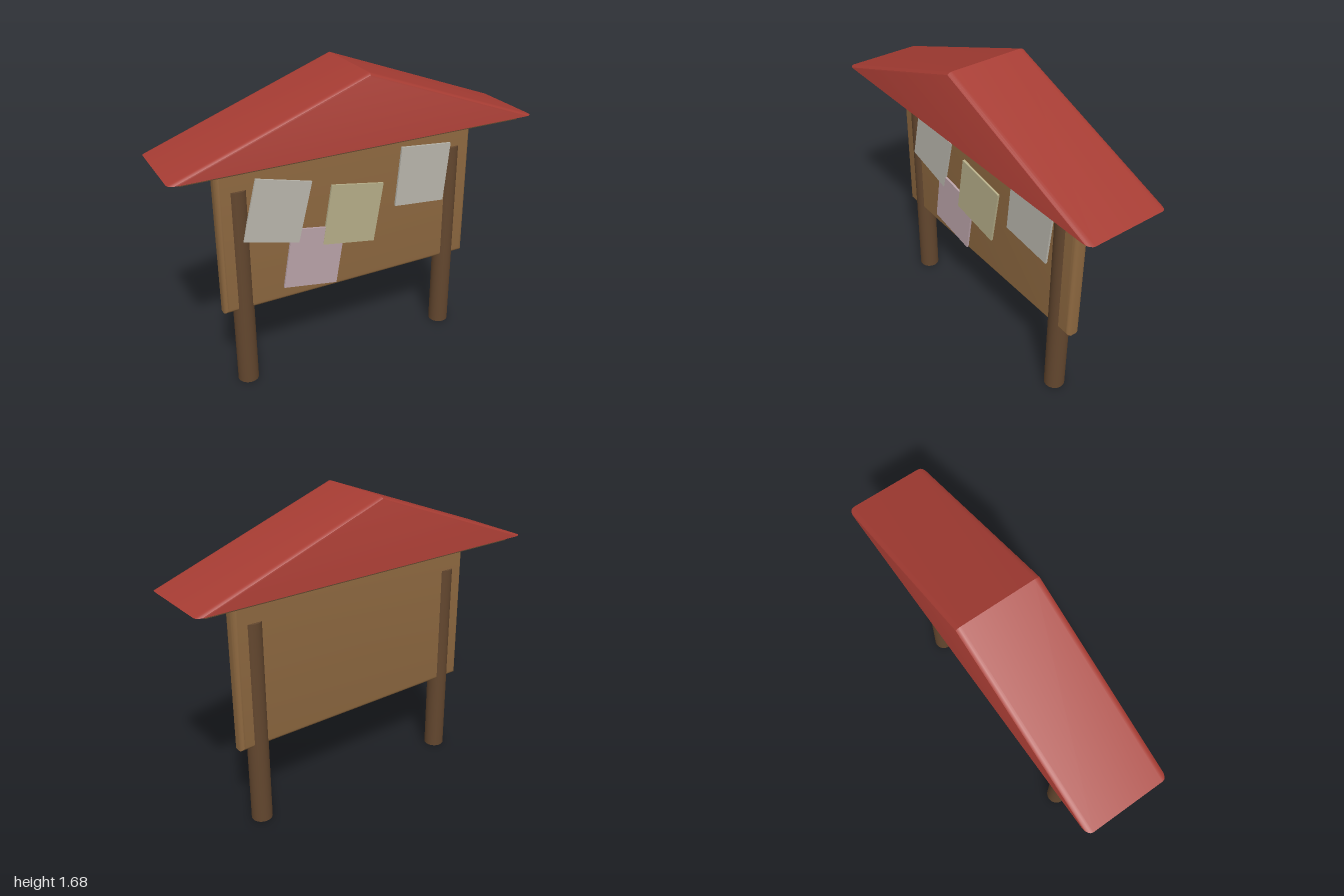
import * as THREE from 'three';
import { toCreasedNormals } from 'three/addons/utils/BufferGeometryUtils.js';

const material = (color) => new THREE.MeshStandardMaterial({ color });

export function createModel() {
  const model = new THREE.Group();
  model.name = 'noticeBoard';
  const red = material(0xa63c33);
  const tan = material(0x8c673f);
  const brown = material(0x62462e);

  function add(name, geometry, mat, x = 0, y = 0, z = 0) {
    const mesh = new THREE.Mesh(geometry, mat);
    mesh.name = name;
    mesh.position.set(x, y, z);
    model.add(mesh);
    return mesh;
  }

  // Round posts, showing through both faces of the board
  for (const [name, x] of [['leftPost', 0.62], ['rightPost', -0.62]]) {
    add(name, new THREE.CylinderGeometry(0.056, 0.056, 1.135, 32), brown, x, 0.5675);
  }

  // Board with rounded rims and square outline corners
  const w = 0.735, bottom = 0.457, top = 1.285;
  const outline = new THREE.Shape([
    new THREE.Vector2(-w, bottom), new THREE.Vector2(w, bottom),
    new THREE.Vector2(w, top), new THREE.Vector2(-w, top),
  ]);
  const bevel = 0.026, depth = 0.028;
  const board = new THREE.ExtrudeGeometry(outline, {
    depth, bevelEnabled: true, bevelSize: bevel, bevelThickness: bevel,
    bevelOffset: -bevel, bevelSegments: 5,
  });
  board.translate(0, 0, -depth / 2);
  add('board', toCreasedNormals(board, 0.6), tan);

  // Flat plate under the roof
  add('roofPlate', new THREE.BoxGeometry(1.87, 0.04, 0.34), brown, 0, 1.3);

  // Gable roof: a triangular prism whose ends shrink towards the base centre
  const gable = new THREE.Shape([
    new THREE.Vector2(-1, 0), new THREE.Vector2(1, 0), new THREE.Vector2(0, 0.37),
  ]);
  const half = 0.225, round = 0.03, n = 4;
  const roof = new THREE.ExtrudeGeometry(gable, { depth: 2 * n + 1, steps: 2 * n + 1, bevelEnabled: false });
  const p = roof.attributes.position;
  for (let i = 0; i < p.count; i++) {
    const step = Math.round(p.getZ(i));
    const side = step <= n ? -1 : 1;
    const a = (Math.min(step, 2 * n + 1 - step) / n) * Math.PI / 2;
    const s = 1 - 0.045 * (1 - Math.sin(a));
    p.setXYZ(i, p.getX(i) * s, p.getY(i) * s, side * (half - round * (1 - Math.cos(a))));
  }
  add('roof', toCreasedNormals(roof, 0.5), red, 0, 1.31);

  // Pinned paper sheets: name, color, x, y, z, tilt in degrees
  const sheets = [
    ['rightPaper', 0xb8b5ab, -0.427, 0.99, 0.056, -14],
    ['lowerPaper', 0xb9a2a8, -0.23, 0.68, 0.0545, -9.5],
    ['middlePaper', 0xb5ad88, -0.002, 0.88, 0.056, -9.5],
    ['leftPaper', 0xb8b5ab, 0.423, 1.018, 0.056, -5.5],
  ];
  for (const [name, color, x, y, z, tilt] of sheets) {
    const sheet = add(name, new THREE.BoxGeometry(0.308, 0.335, 0.012), material(color), x, y, z);
    sheet.rotation.z = THREE.MathUtils.degToRad(tilt);
  }
  return model;
}
